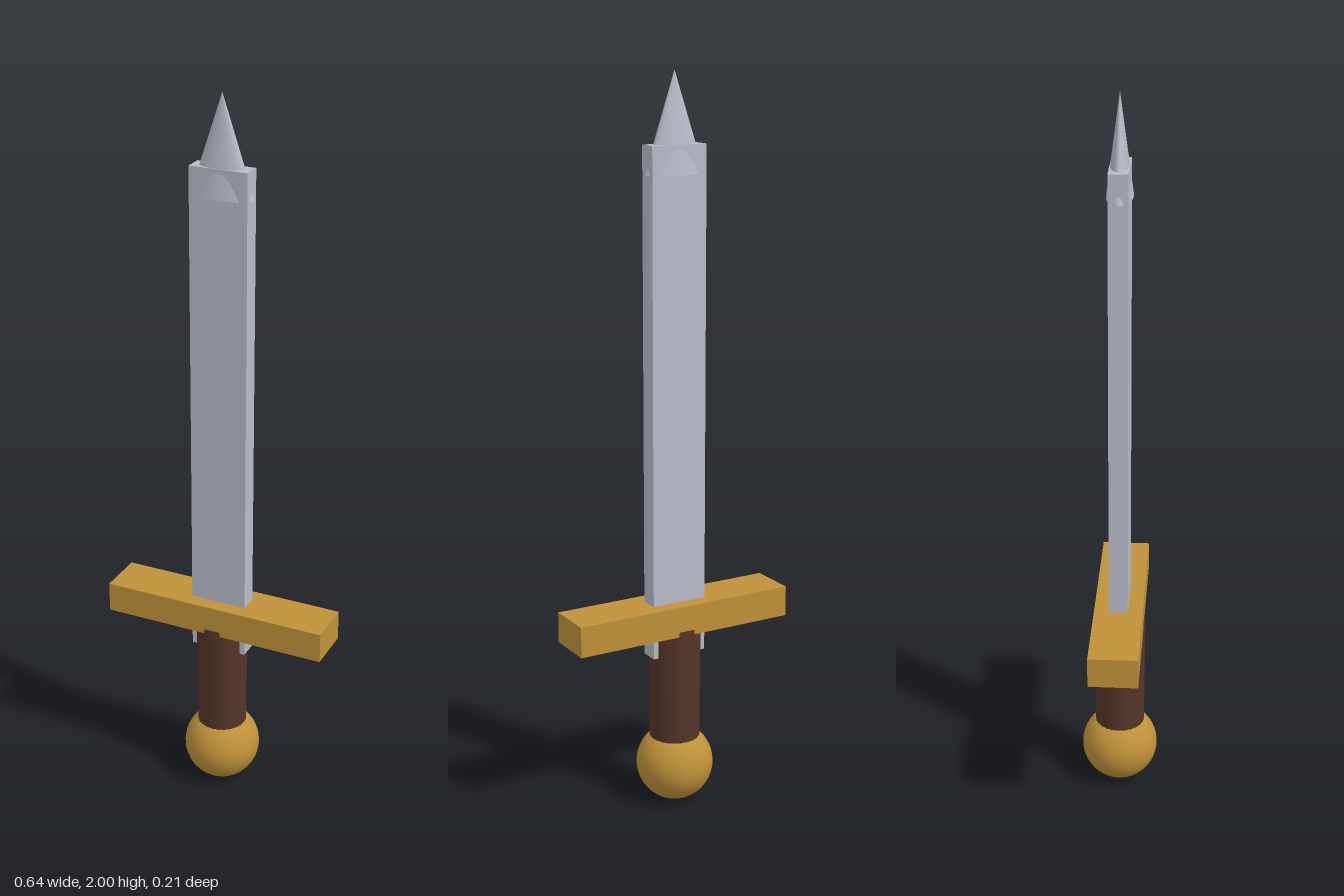
import * as THREE from 'three';

const steel = new THREE.MeshStandardMaterial({ color: 0xb8bcc8 });
const brass = new THREE.MeshStandardMaterial({ color: 0xbf9139 });
const leather = new THREE.MeshStandardMaterial({ color: 0x553529 });

export function createModel() {
  const group = new THREE.Group();

  const add = (name, geometry, material, y) => {
    const mesh = new THREE.Mesh(geometry, material);
    mesh.name = name;
    mesh.position.y = y;
    group.add(mesh);
    return mesh;
  };

  // Round pommel at the foot
  add('pommel', new THREE.SphereGeometry(0.107, 32, 24), brass, 0.108);

  // Slightly tapered grip, sunk into the pommel and the crossguard
  add('grip', new THREE.CylinderGeometry(0.0715, 0.069, 0.385, 24), leather, 0.3225);

  // Straight crossguard
  add('crossguard', new THREE.BoxGeometry(0.643, 0.085, 0.134), brass, 0.544);

  // Flat blade, running through the crossguard
  add('blade', new THREE.BoxGeometry(0.16, 1.38, 0.052), steel, 1.125);

  // Flattened cone point, its base wider than the blade
  const tip = new THREE.ConeGeometry(0.087, 0.262, 32);
  tip.scale(1, 1, 0.4);
  add('bladeTip', tip, steel, 1.869);

  return group;
}
